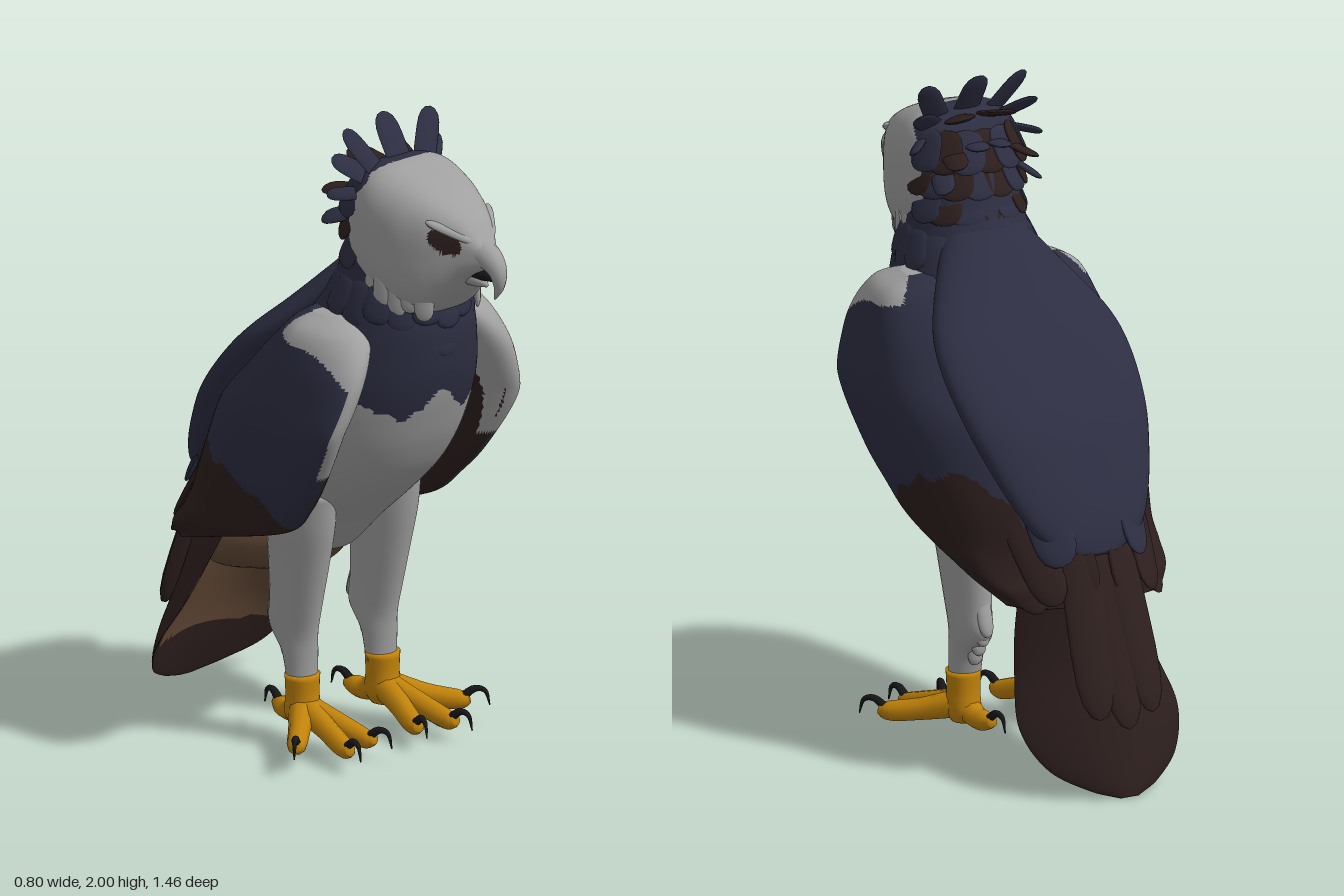
import * as THREE from 'three';

const V = (x, y, z) => new THREE.Vector3(x, y, z);
const mat = (name, color) => {
  const m = new THREE.MeshStandardMaterial({ color });
  m.name = name;
  return m;
};

// Smooth resampling of a table of section rows
function resample(rows, n) {
  const c = rows[0].length;
  const spline = new THREE.CubicInterpolant(rows.map((_, i) => i), rows.flat(), c, new Float32Array(c));
  return Array.from({ length: n + 1 }, (_, i) => Array.from(spline.evaluate((i / n) * (rows.length - 1))));
}

// Closed skin over rings of points; pick(centre, turn) chooses the material of each face
function skin(name, rings, mats, pick = () => 0) {
  const n = rings[0].length, pts = rings.flat(), faces = [];
  for (let r = 0; r < rings.length - 1; r++) {
    for (let i = 0; i < n; i++) {
      const a = r * n + i, b = r * n + (i + 1) % n, turn = (i + 0.5) / n;
      faces.push([a, b, a + n, turn], [b, b + n, a + n, turn]);
    }
  }
  const cap = (loop, base, flip) => {
    const c = pts.length;
    pts.push(loop.reduce((s, p) => s.add(p), V(0, 0, 0)).divideScalar(n));
    for (let i = 0; i < n; i++) {
      const a = base + i, b = base + (i + 1) % n;
      faces.push(flip ? [b, a, c, 0] : [a, b, c, 0]);
    }
  };
  cap(rings[0], 0, true);
  cap(rings[rings.length - 1], (rings.length - 1) * n, false);
  let volume = 0;
  for (const [a, b, c] of faces) volume += pts[a].dot(V(0, 0, 0).crossVectors(pts[b], pts[c]));
  const buckets = mats.map(() => []);
  for (const [a, b, c, turn] of faces) {
    const mid = pts[a].clone().add(pts[b]).add(pts[c]).divideScalar(3);
    buckets[pick(mid, turn)].push(...(volume < 0 ? [a, c, b] : [a, b, c]));
  }
  const g = new THREE.BufferGeometry().setFromPoints(pts);
  g.setIndex(buckets.flat());
  let start = 0;
  buckets.forEach((b, i) => { g.addGroup(start, b.length, i); start += b.length; });
  g.computeVertexNormals();
  const mesh = new THREE.Mesh(g, mats);
  mesh.name = name;
  return mesh;
}

// Ring of n points from a rule (cos, sin), p > 2 squares it off
const ring = (n, rule, p = 2) => Array.from({ length: n }, (_, i) => {
  const a = (i / n) * Math.PI * 2, c = Math.cos(a), s = Math.sin(a);
  return rule(Math.sign(c) * Math.abs(c) ** (2 / p), Math.sign(s) * Math.abs(s) ** (2 / p));
});

// Horizontal sections: rows of [y, zFront, zBack, halfWidth, xCentre]
const upright = (rows, steps, n, p) => resample(rows, steps).map(([y, f, b, w, x = 0]) =>
  ring(n, (c, s) => V(x + w * c, y, (f + b) / 2 + (f - b) / 2 * s), p));

// Tapered tube through rows of [x, y, z, radius]
function taper(name, rows, m, n = 10) {
  const path = resample(rows, 14), a = rows[0], e = rows[rows.length - 1];
  const u = V(e[2] - a[2], 0, a[0] - e[0]).normalize();
  return skin(name, path.map((q, i) => {
    const p0 = path[Math.max(0, i - 1)], p1 = path[Math.min(path.length - 1, i + 1)];
    const v = V(p1[0] - p0[0], p1[1] - p0[1], p1[2] - p0[2]).normalize().cross(u).normalize();
    return ring(n, (c, s) => V(q[0], q[1], q[2]).addScaledVector(u, q[3] * c).addScaledVector(v, q[3] * s));
  }), [m]);
}

// Flat blunt feather from root to tip, its face turned to normal
const quill = new THREE.SphereGeometry(1, 12, 10);
const qp = quill.attributes.position;
for (let i = 0; i < qp.count; i++) {
  const k = Math.sqrt(1 + qp.getY(i) ** 2);
  qp.setXYZ(i, qp.getX(i) * k, qp.getY(i), qp.getZ(i) * k);
}
quill.computeVertexNormals();
function feather(name, root, tip, width, normal, m, thick = 0.02) {
  const y = tip.clone().sub(root), len = y.length();
  y.normalize();
  const x = y.clone().cross(normal).normalize(), z = x.clone().cross(y);
  const mesh = new THREE.Mesh(quill, m);
  mesh.quaternion.setFromRotationMatrix(new THREE.Matrix4().makeBasis(x, y, z));
  mesh.position.copy(root).add(tip).multiplyScalar(0.5);
  mesh.scale.set(width / 2, len / 2, thick / 2);
  mesh.name = name;
  return mesh;
}

export function createModel() {
  const white = mat('pale grey plumage', 0xa0a0a0), navy = mat('slate blue plumage', 0x2d2e42);
  const brown = mat('dark brown plumage', 0x2d1f1e), tan = mat('tan underside', 0x644a37);
  const yellow = mat('yellow skin', 0xc0820a), black = mat('black claw', 0x17171b);
  const model = new THREE.Group();
  const add = (...m) => model.add(...m);

  // Torso with pale belly and a scalloped bib
  add(skin('body', upright([
    [1.53, 0.44, 0.08, 0.17], [1.42, 0.48, -0.03, 0.215], [1.3, 0.475, -0.14, 0.255], [1.2, 0.455, -0.24, 0.285],
    [1.1, 0.42, -0.33, 0.3], [1, 0.375, -0.4, 0.3], [0.9, 0.31, -0.45, 0.285], [0.8, 0.215, -0.49, 0.25],
    [0.7, 0.11, -0.5, 0.19], [0.6, 0.02, -0.46, 0.1], [0.56, -0.06, -0.4, 0.04]], 100, 120, 2.25),
  [white, navy, brown], ({ x, y, z }) => {
    const ax = Math.abs(x);
    const edge = (ax < 0.11 ? 1.2 - ax * 0.9 : 1.1 + (ax - 0.11) * 0.5) + 0.012 * Math.abs(Math.sin(ax * 50));
    if (z < 0.17 - (1.3 - y) * 0.6) return y < 0.74 ? 2 : 1;
    return y > edge ? 1 : 0;
  }));
  add(skin('mantle', upright([[1.57, 0.25, 0.1, 0.1], [1.5, 0.2, 0.03, 0.155], [1.4, 0.12, -0.07, 0.23], [1.3, 0.03, -0.18, 0.295],
    [1.2, -0.06, -0.275, 0.315], [1.07, -0.17, -0.385, 0.3], [0.95, -0.27, -0.455, 0.265], [0.84, -0.36, -0.51, 0.22],
    [0.76, -0.42, -0.54, 0.17], [0.71, -0.47, -0.55, 0.09]], 50, 56, 2.2), [navy]));
  add(skin('neck', upright([[1.82, 0.34, 0.19, 0.12], [1.7, 0.38, 0.13, 0.16], [1.6, 0.42, 0.1, 0.172],
    [1.5, 0.46, 0.05, 0.19], [1.4, 0.47, -0.02, 0.22]], 20, 32), [navy]));

  // Head lofted along z: [z, yBottom, yTop, halfWidth]
  add(skin('head', resample([[0.17, 1.62, 1.82, 0.1], [0.21, 1.54, 1.87, 0.16], [0.3, 1.48, 1.89, 0.188],
    [0.4, 1.455, 1.865, 0.178], [0.48, 1.46, 1.835, 0.15], [0.54, 1.52, 1.805, 0.118], [0.6, 1.59, 1.77, 0.077],
    [0.65, 1.625, 1.715, 0.042], [0.69, 1.65, 1.69, 0.02]], 90).map(([z, b, t, w]) =>
    ring(110, (c, s) => V(w * c, (b + t) / 2 + (t - b) / 2 * s, z), 3)),
  [white, brown, navy], ({ x, y, z }) => {
    if (z < 0.22 + Math.max(0, y - 1.7) * 0.42 + 0.008 * Math.sin(y * 90)) return 2;
    const lift = y - 1.712 + (z - 0.57) * 0.35;
    return Math.abs(x) > 0.03 && ((z - 0.57) / 0.045) ** 2 + (lift / 0.035) ** 2 < 1 ? 1 : 0;
  }));
  add(taper('upperBeak', [[0, 1.675, 0.6, 0.05], [0, 1.672, 0.655, 0.042], [0, 1.64, 0.7, 0.03],
    [0, 1.59, 0.71, 0.017], [0, 1.545, 0.69, 0.003]], white));
  add(taper('lowerBeak', [[0, 1.605, 0.53, 0.04], [0, 1.59, 0.6, 0.028], [0, 1.578, 0.655, 0.006]], white));
  add(taper('mouth', [[0, 1.625, 0.56, 0.04], [0, 1.615, 0.63, 0.026], [0, 1.605, 0.69, 0.008]], black));

  // Ruffs of feathers around the neck
  for (let i = 0; i < 18; i++) {
    const a = (i / 18) * Math.PI * 2, s = Math.sin(a), c = Math.cos(a), out = V(s, 0.3, c);
    add(feather('collarFeather', V(s * 0.17, 1.54, 0.27 + c * 0.18), V(s * 0.215, 1.4 + 0.02 * (i % 2), 0.235 + c * 0.25),
      0.1, out, navy, 0.03));
    add(feather('bibFeather', V(s * 0.19, 1.46, 0.25 + c * 0.21), V(s * 0.24, 1.31, 0.19 + c * 0.285), 0.1, out, navy));
  }
  for (let row = 0; row < 4; row++) for (let i = -3; i <= 3; i++) {
    const a = (i + (row % 2) / 2) * 0.42, s = Math.sin(a), c = Math.cos(a), y = 1.84 - row * 0.08;
    add(feather('napeFeather', V(s * 0.14, y, 0.27 - c * 0.11), V(s * 0.185, y - 0.12, 0.25 - c * 0.16), 0.11,
      V(s, 0.3, -c), (row + i) % 2 ? navy : brown));
  }

  // Crest: [root, tip, width], centre feather first
  add(feather('crestFeather', V(0, 1.82, 0.29), V(0, 2, 0.175), 0.09, V(0, 0.6, 0.8), navy));
  for (const s of [1, -1]) {
    for (const [r, t, w, m] of [
      [[0.07, 1.82, 0.28], [0.17, 1.985, 0.2], 0.075, navy], [[0.09, 1.82, 0.28], [0.2, 1.9, 0.18], 0.075, navy],
      [[0.04, 1.85, 0.26], [0.08, 1.89, 0.12], 0.09, brown], [[0.14, 1.8, 0.27], [0.22, 1.79, 0.18], 0.05, navy],
      [[0.09, 1.78, 0.2], [0.13, 1.76, 0.06], 0.07, brown], [[0.12, 1.72, 0.2], [0.16, 1.68, 0.09], 0.07, navy],
      [[0.03, 1.8, 0.2], [0.04, 1.8, 0.08], 0.07, navy]]) {
      add(feather('crestFeather', V(r[0] * s, r[1], r[2]), V(t[0] * s, t[1], t[2]), w, V(0, 0.7, 0.7), m));
    }
    // Frowning brow and cheek fringe
    add(feather('brow', V(0.035 * s, 1.715, 0.635), V(0.122 * s, 1.77, 0.515), 0.032, V(s * 0.3, 1, 0.3), white, 0.025));
    for (let i = 0; i < 7; i++) {
      const z = 0.25 + i * 0.04, x = s * (0.165 - Math.max(0, i - 3) * 0.02);
      add(feather('cheekFeather', V(x, 1.58, z), V(x, 1.445 + 0.02 * (i % 2), z), 0.06, V(s, 0, i * 0.15), white));
    }

    // Folded wing: rows of [y, zFront, zBack, xOuter]
    const wingRows = resample([[1.425, 0.25, 0.06, 0.25], [1.38, 0.35, -0.02, 0.325], [1.3, 0.4, -0.11, 0.362],
      [1.2, 0.405, -0.21, 0.385], [1.07, 0.37, -0.33, 0.4], [0.9, 0.265, -0.43, 0.375], [0.8, 0.18, -0.49, 0.35],
      [0.72, 0.09, -0.53, 0.33], [0.66, -0.08, -0.55, 0.315], [0.61, -0.26, -0.57, 0.29], [0.56, -0.43, -0.56, 0.235]], 110);
    const frontAt = y => {
      const i = Math.max(1, wingRows.findIndex(r => r[0] <= y)), [y0, f0] = wingRows[i - 1], [y1, f1] = wingRows[i];
      return f0 + (f1 - f0) * (y0 - y) / (y0 - y1);
    };
    add(skin('wing', wingRows.map(([y, f, b, o]) => {
      const rx = Math.min(0.1, (f - b) * 0.25), flare = THREE.MathUtils.clamp((1.35 - y) * 0.2, 0, 0.05);
      return ring(120, (c, q) => V(s * (o - rx + rx * c + (q > 0 ? flare : -0.19) * q * q), y, (f + b) / 2 + (f - b) / 2 * q), 2.1);
    }), [navy, white, brown], ({ x, y, z }, turn) => {
      const border = z > -0.3 ? 0.92 - (z + 0.3) ** 2 : 0.92 + z + 0.3;
      const inner = turn > 0.26 && turn < 0.74, ax = Math.abs(x), front = frontAt(y);
      if (y > 1.34 + (z < 0.2 ? 1.6 : -2.4) * (z - 0.2) ** 2 && z > 0.06 && ax < 0.36 && ax > 0.33 - (z - 0.06) * 0.8) return 1;
      if (y > 0.95 && z > front - THREE.MathUtils.clamp((y - 0.85) * 0.25, 0.02, 0.1) && ax < 0.315) return 1;
      if (y > 0.95 && z > front - 0.01) return 1;
      return (inner && y < 1.15) || y < border + 0.012 * Math.sin(z * 45) ? 2 : 0;
    }));
    // Stepped feathers along the rear wing edge
    for (const [r, t, w, m] of [
      [[0.15, 0.92, -0.4], [0.13, 0.69, -0.55], 0.13, navy], [[0.2, 0.85, -0.36], [0.16, 0.58, -0.57], 0.12, brown],
      [[0.23, 0.8, -0.28], [0.2, 0.555, -0.54], 0.11, brown], [[0.1, 0.85, -0.44], [0.07, 0.58, -0.575], 0.14, brown]]) {
      add(feather('flightFeather', V(r[0] * s, r[1], r[2]), V(t[0] * s, t[1], t[2]), w, V(s * 0.5, 0.4, -0.7), m, 0.03));
    }

    // Feathered leg
    add(skin('leg', upright([[0.82, 0.14, -0.16, 0.08, 0.165 * s], [0.7, 0.125, -0.135, 0.08, 0.163 * s],
      [0.58, 0.1, -0.13, 0.07, 0.16 * s], [0.45, 0.07, -0.13, 0.06, 0.158 * s], [0.36, 0.05, -0.135, 0.055, 0.156 * s],
      [0.29, 0.042, -0.075, 0.052, 0.155 * s], [0.2, 0.035, -0.045, 0.05, 0.155 * s]], 30, 28), [white]));
    for (let i = 0; i < 4; i++) {
      add(feather('legTuft', V(0.155 * s, 0.5 - i * 0.05, -0.1 + i * 0.01), V(0.155 * s, 0.36 - i * 0.035, -0.145 + i * 0.025),
        0.05, V(0, 0.3, -1), white, 0.03));
    }

    // Foot with four toes and hooked claws
    add(skin('ankle', upright([[0.225, 0.05, -0.055, 0.054, 0.157 * s], [0.16, 0.05, -0.055, 0.05, 0.157 * s],
      [0.1, 0.06, -0.06, 0.052, 0.157 * s], [0.065, 0.04, -0.04, 0.035, 0.157 * s]], 12, 20), [yellow]));
    for (const [x, y, z] of [[0.33, 0.075, 0.17], [0.205, 0.06, 0.26], [0.09, 0.06, 0.23], [0.14, 0.09, -0.13]]) {
      const ox = 0.157, d = V(x - ox, 0, z).normalize();
      const at = (k, yy, r) => [(x + d.x * k) * s, yy, z + d.z * k, r];
      add(taper('toe', [[ox * s, 0.12, 0, 0.045], [(ox + (x - ox) * 0.5) * s, 0.09, z * 0.5, 0.034],
        at(-0.02, y, 0.03), at(0.015, y + 0.005, 0.016)], yellow));
      add(taper('claw', [at(-0.005, y + 0.01, 0.014), at(0.03, y + 0.035, 0.011), at(0.062, y + 0.028, 0.007),
        at(0.075, y - 0.015, 0.002)], black, 8));
    }
  }

  // Arched tail: rows of [y, z, halfWidth, thickness, arch]
  add(skin('tail', resample([[0.74, -0.47, 0.13, 0.05, 0.16], [0.55, -0.55, 0.2, 0.045, 0.18], [0.4, -0.6, 0.24, 0.035, 0.165],
    [0.25, -0.65, 0.27, 0.025, 0.13], [0.12, -0.685, 0.22, 0.02, 0.08], [0.04, -0.708, 0.12, 0.014, 0.03],
    [0, -0.718, 0.03, 0.008, 0]], 50).map(([y, z, w, t, arch]) => ring(56, (c, q) => {
    const k = q * t - arch * c * c;
    return V(w * c, Math.max(0, y + 0.38 * k), z - 0.92 * k);
  })), [brown, tan], ({ x, y }, turn) => turn > 0.5 && y > 0.17 && y < 0.43 && Math.abs(x) < 0.23 ? 1 : 0));
  for (const x of [-0.09, 0, 0.09]) {
    add(feather('tailCovert', V(x * 0.7, 0.78, -0.5), V(x, 0.21 + Math.abs(x) * 0.4, -0.72 + Math.abs(x) * 0.2),
      0.13, V(x * 2, 0.38, -0.92), brown, 0.04));
  }
  // Undertail, lofted along z: [z, y, halfWidth, halfHeight]
  add(skin('undertail', resample([[0, 0.66, 0.06, 0.04], [-0.13, 0.58, 0.13, 0.09], [-0.32, 0.54, 0.17, 0.1],
    [-0.44, 0.5, 0.16, 0.08], [-0.5, 0.49, 0.1, 0.05]], 20).map(([z, y, w, h]) =>
    ring(28, (c, q) => V(w * c, y + h * q, z))), [tan]));
  return model;
}
